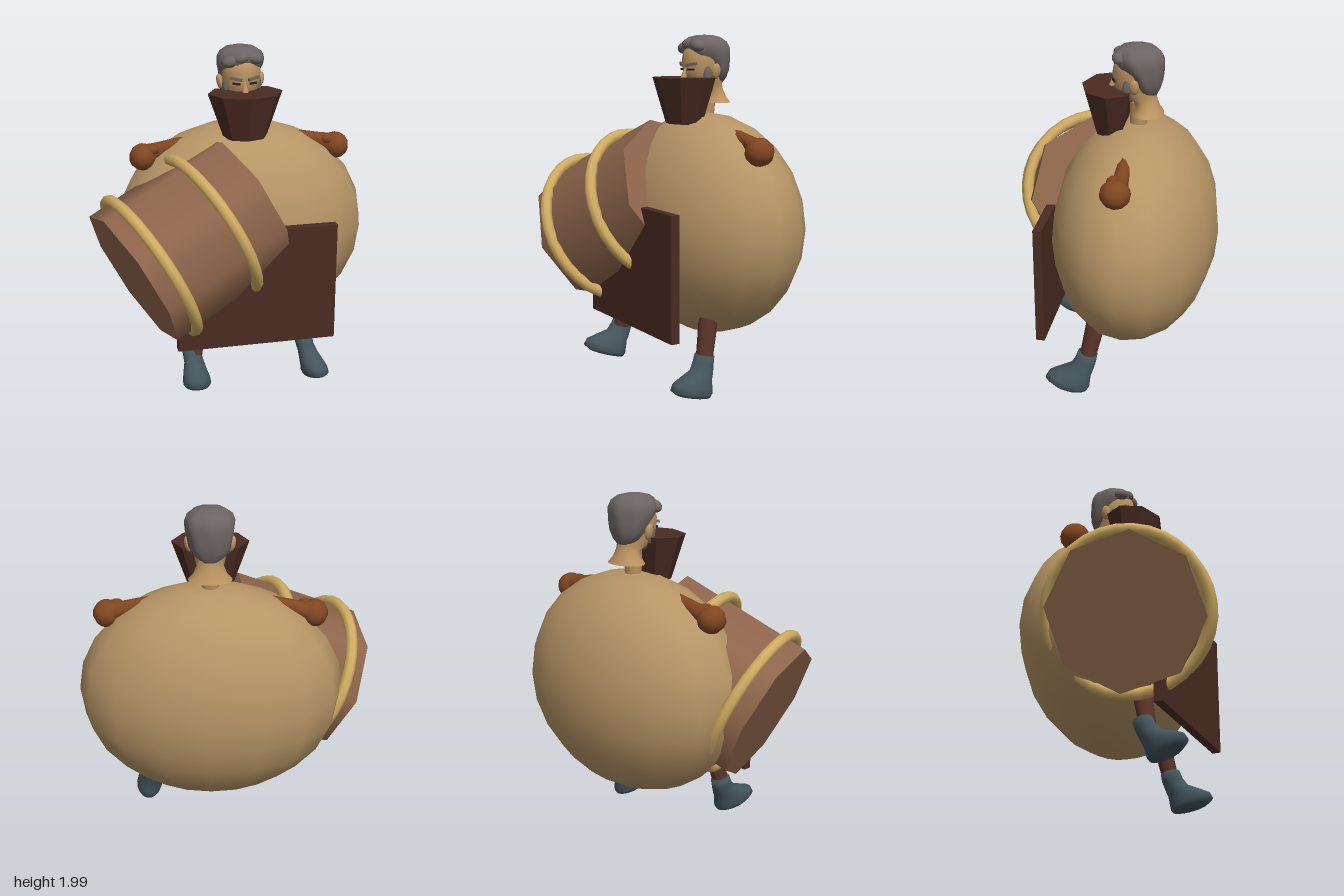
import * as THREE from 'three';

const mat = (name, color) => {
  const m = new THREE.MeshStandardMaterial({ color });
  m.name = name;
  return m;
};

// Smooth skin over horizontal elliptical rings, listed from bottom to top: [y, centreZ, radiusX, radiusZ, centreX]
function loft(rings, sides = 20, ripple = 0, waves = 0) {
  const pos = [], idx = [];
  rings.forEach(([y, cz, rx, rz, cx = 0], j) => {
    for (let i = 0; i < sides; i++) {
      const a = (i / sides) * Math.PI * 2;
      const k = 1 + ripple * Math.cos(waves * a + j * 0.5);
      pos.push(cx + rx * k * Math.sin(a), y, cz + rz * k * Math.cos(a));
      if (j === rings.length - 1) continue;
      const n = (i + 1) % sides, p = j * sides, q = p + sides;
      idx.push(p + i, p + n, q + n, p + i, q + n, q + i);
    }
  });
  const g = new THREE.BufferGeometry();
  g.setAttribute('position', new THREE.Float32BufferAttribute(pos, 3));
  g.setIndex(idx);
  g.computeVertexNormals();
  return g;
}

export function createModel() {
  const root = new THREE.Group();
  root.name = 'barrelFigure';
  const tan = mat('tan shirt', 0xb69465), skin = mat('skin', 0xbb9360);
  const wood = mat('barrel wood', 0x8f664c), rope = mat('rope', 0xd0ac62);
  const darkWood = mat('dark leather', 0x4a2b22), trousers = mat('trousers', 0x5c3428);
  const boots = mat('boots', 0x43545b), glove = mat('gloves', 0x804621);
  const hairMat = mat('hair', 0x6d6563), dark = mat('eyes', 0x2a211d);
  skin.side = THREE.DoubleSide;

  const add = (name, geo, material, p = [0, 0, 0], s = [1, 1, 1], parent = root) => {
    const m = new THREE.Mesh(geo, material);
    m.name = name;
    m.position.set(...p);
    m.scale.set(...s);
    parent.add(m);
    return m;
  };
  const ball = new THREE.SphereGeometry(1, 16, 12);
  const up = new THREE.Vector3(0, 1, 0);
  const rod = (name, material, a, b, ra, rb, sides, parent) => {
    const A = new THREE.Vector3(...a), B = new THREE.Vector3(...b);
    const m = add(name, new THREE.CylinderGeometry(rb, ra, A.distanceTo(B), sides), material,
      A.clone().add(B).multiplyScalar(0.5).toArray(), [1, 1, 1], parent);
    m.quaternion.setFromUnitVectors(up, B.sub(A).normalize());
    return m;
  };

  // Round body
  const cx = 0.075;
  add('body', ball, tan, [cx, 0.92, -0.17], [0.747, 0.64, 0.47]);

  // Apron board in front
  add('apronBoard', new THREE.BoxGeometry(0.92, 0.7, 0.05), darkWood, [0.07, 0.71, 0.305]);

  // Tilted barrel with two rope hoops
  const barrel = new THREE.Group();
  barrel.name = 'barrel';
  barrel.position.set(-0.62, 0.79, 0.215);
  barrel.quaternion.setFromUnitVectors(up, new THREE.Vector3(0.87, 0.42, -0.26).normalize());
  root.add(barrel);
  const L = 0.8;
  add('barrelStaves', new THREE.CylinderGeometry(0.43, 0.43, L, 8).rotateY(Math.PI / 8), wood,
    [0, L / 2, 0], [1, 1, 1], barrel);
  for (const y of [0.12, 0.54])
    add('ropeHoop', new THREE.TorusGeometry(0.44, 0.033, 8, 32).rotateX(Math.PI / 2), rope,
      [0, y, 0], [1, 1, 1], barrel);

  // Faceted high collar, flat at the back
  const collar = new THREE.CylinderGeometry(0.215, 0.125, 0.26, 8).toNonIndexed();
  const cp = collar.attributes.position;
  for (let i = 0; i < cp.count; i++) {
    const limit = cp.getY(i) > 0 ? -0.112 : -0.065;
    cp.setZ(i, Math.max(cp.getZ(i) * 0.8, limit));
  }
  collar.computeVertexNormals();
  add('highCollar', collar, darkWood, [cx, 1.63, -0.03]);

  // Arms with fists
  for (const s of [1, -1]) {
    const arm = new THREE.Group();
    arm.name = s > 0 ? 'leftArm' : 'rightArm';
    arm.position.set(cx, 0, 0);
    root.add(arm);
    rod('sleeve', glove, [s * 0.3, 1.45, -0.155], [s * 0.52, 1.41, -0.16], 0.042, 0.04, 10, arm);
    rod('wrist', glove, [s * 0.45, 1.42, -0.16], [s * 0.58, 1.385, -0.15], 0.04, 0.065, 10, arm);
    const f = add('fist', new THREE.SphereGeometry(1, 10, 7), glove, [s * 0.573, 1.38, -0.147],
      [0.08, 0.078, 0.084], arm);
    f.rotation.z = s * -0.4;
    add('thumb', new THREE.SphereGeometry(1, 8, 6), glove, [s * 0.52, 1.425, -0.13],
      [0.045, 0.032, 0.04], arm);
  }

  // Legs, the right one stepping forward
  const bootGeo = loft([
    [0.008, 0.15, 0.001, 0.001, 0.045], [0.008, 0.155, 0.068, 0.105, 0.045],
    [0.03, 0.165, 0.08, 0.128, 0.045], [0.065, 0.155, 0.077, 0.122, 0.04],
    [0.1, 0.125, 0.068, 0.095, 0.03], [0.14, 0.085, 0.058, 0.068, 0.02],
    [0.19, 0.063, 0.054, 0.06, 0.005], [0.235, 0.052, 0.054, 0.056, 0],
    [0.235, 0.052, 0.001, 0.001, 0]]);
  const bp = bootGeo.attributes.position;
  for (let i = 0; i < bp.count; i++) bp.setY(i, bp.getY(i) + (bp.getZ(i) - 0.04) * 0.19);
  bootGeo.computeVertexNormals();
  for (const s of [1, -1]) {
    const leg = new THREE.Group();
    leg.name = s > 0 ? 'leftLeg' : 'rightLeg';
    leg.position.set(cx + s * 0.35, s > 0 ? 0 : 0.068, s > 0 ? 0 : 0.145);
    root.add(leg);
    rod('trouserLeg', trousers, [0, 0.2, 0.055], [s * -0.035, 0.47, 0], 0.047, 0.056, 12, leg);
    const boot = add('boot', bootGeo, boots, [0, 0, 0], [1, 1, 1], leg);
    boot.rotation.y = s > 0 ? 0 : -0.3;
    if (s < 0) boot.rotation.x = -0.08;
  }

  // Head, neck and open neckline
  const head = new THREE.Group();
  head.name = 'head';
  head.position.x = cx;
  root.add(head);
  add('neckAndFace', loft([
    [1.615, -0.225, 0.12, 0.088], [1.645, -0.222, 0.092, 0.073], [1.69, -0.208, 0.074, 0.068],
    [1.72, -0.17, 0.085, 0.1], [1.76, -0.153, 0.1, 0.112], [1.8, -0.15, 0.106, 0.115],
    [1.86, -0.15, 0.112, 0.12], [1.92, -0.16, 0.105, 0.115], [1.97, -0.16, 0.04, 0.05]], 24), skin,
    [0, 0, 0], [1, 1, 1], head);
  rod('innerNeck', skin, [0, 1.48, -0.17], [0, 1.68, -0.18], 0.045, 0.055, 12, head);

  // Swept hair with wavy locks
  add('hair', loft([
    [1.725, -0.225, 0.05, 0.05], [1.755, -0.218, 0.088, 0.073], [1.8, -0.215, 0.112, 0.088],
    [1.85, -0.2, 0.122, 0.108], [1.885, -0.182, 0.132, 0.125], [1.925, -0.175, 0.135, 0.133],
    [1.96, -0.168, 0.122, 0.122], [1.985, -0.165, 0.088, 0.092], [1.997, -0.165, 0.04, 0.045],
    [1.998, -0.165, 0.001, 0.001]], 42, 0.03, 7), hairMat, [0, 0, 0], [1, 1, 1], head);
  for (const [x, y, z, r] of [[-0.075, 1.925, -0.085, 0.3], [-0.015, 1.945, -0.075, 0.2], [0.06, 1.94, -0.08, -0.3]])
    add('frontLock', ball, hairMat, [x, y, z], [0.05, 0.035, 0.045], head).rotation.z = r;

  // Face details
  add('beard', ball, hairMat, [0, 1.715, -0.105], [0.08, 0.045, 0.068], head);
  const nose = add('nose', new THREE.ConeGeometry(0.022, 0.085, 8), skin, [0, 1.79, -0.031], [1, 1, 0.9], head);
  nose.rotation.x = -0.2;
  for (const s of [1, -1]) {
    add('ear', ball, skin, [s * 0.118, 1.795, -0.165], [0.02, 0.045, 0.028], head).rotation.z = s * -0.2;
    add('sideburn', ball, hairMat, [s * 0.095, 1.775, -0.125], [0.018, 0.06, 0.026], head);
    const brow = add('eyebrow', new THREE.BoxGeometry(0.07, 0.016, 0.02), hairMat,
      [s * 0.05, 1.833, -0.045], [1, 1, 1], head);
    brow.rotation.set(0, s * 0.4, s * 0.15);
    const eye = add('eye', new THREE.BoxGeometry(0.045, 0.012, 0.009), dark,
      [s * 0.048, 1.805, -0.043], [1, 1, 1], head);
    eye.rotation.y = s * 0.42;
  }
  return root;
}
